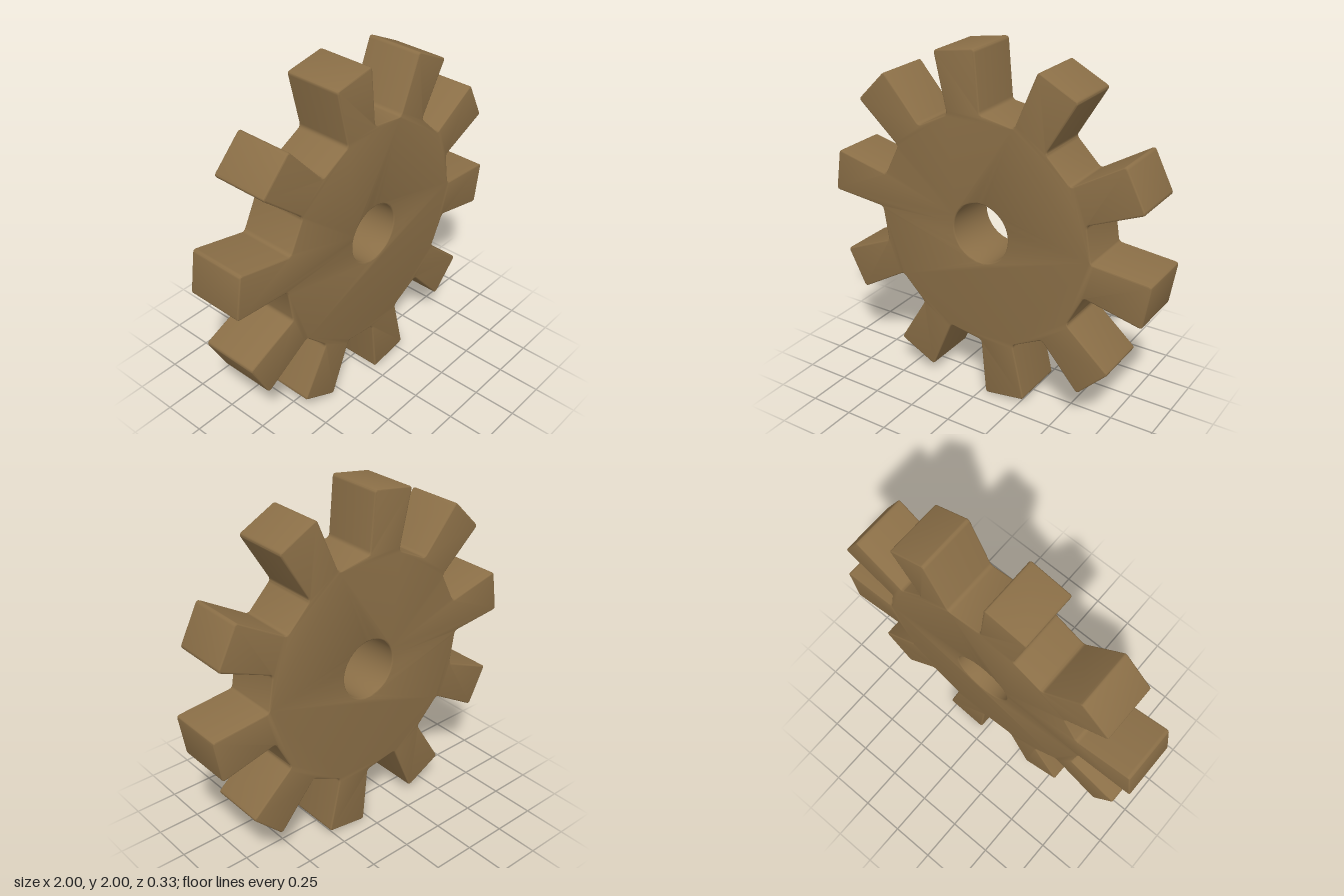
import * as THREE from 'three';
import { toCreasedNormals } from 'three/addons/utils/BufferGeometryUtils.js';

const TEETH = 10, TIP_R = 1.005, ROOT_R = 0.665, HOLE_R = 0.172, DEPTH = 0.33;
const BEVEL = 0.008, ROUND = 0.02;

const polar = (r, deg) => {
  const a = THREE.MathUtils.degToRad(deg);
  return new THREE.Vector2(r * Math.cos(a), r * Math.sin(a));
};

// Closed outline with every corner softened
function roundedShape(corners, radius) {
  const shape = new THREE.Shape();
  corners.forEach((c, i) => {
    const prev = corners[(i + corners.length - 1) % corners.length];
    const next = corners[(i + 1) % corners.length];
    const a = c.clone().add(prev.clone().sub(c).setLength(radius));
    const b = c.clone().add(next.clone().sub(c).setLength(radius));
    if (i === 0) shape.moveTo(a.x, a.y);
    else shape.lineTo(a.x, a.y);
    shape.quadraticCurveTo(c.x, c.y, b.x, b.y);
  });
  shape.closePath();
  return shape;
}

export function createModel() {
  const group = new THREE.Group();
  group.name = 'cogwheel';

  // Teeth flare slightly outwards, with straight root flats between them
  const corners = [];
  for (let i = 0; i < TEETH; i++) {
    const mid = -9 + (i * 360) / TEETH;
    corners.push(polar(ROOT_R, mid - 9), polar(TIP_R, mid - 7.3),
      polar(TIP_R, mid + 7.3), polar(ROOT_R, mid + 9));
  }
  const outline = roundedShape(corners, ROUND);

  // Round axle hole
  const circle = new THREE.Path().absarc(0, 0, HOLE_R, 0, Math.PI * 2, true);
  outline.holes.push(new THREE.Path(circle.getPoints(24)));

  const geometry = new THREE.ExtrudeGeometry(outline, {
    depth: DEPTH - 2 * BEVEL, curveSegments: 4,
    bevelEnabled: true, bevelThickness: BEVEL, bevelSize: BEVEL,
    bevelOffset: -BEVEL, bevelSegments: 3,
  });
  geometry.translate(0, 1, BEVEL - DEPTH / 2);

  const wheel = new THREE.Mesh(
    toCreasedNormals(geometry, 0.6),
    new THREE.MeshStandardMaterial({ color: 0x8b6f47 }),
  );
  wheel.name = 'toothedWheel';
  group.add(wheel);
  return group;
}
